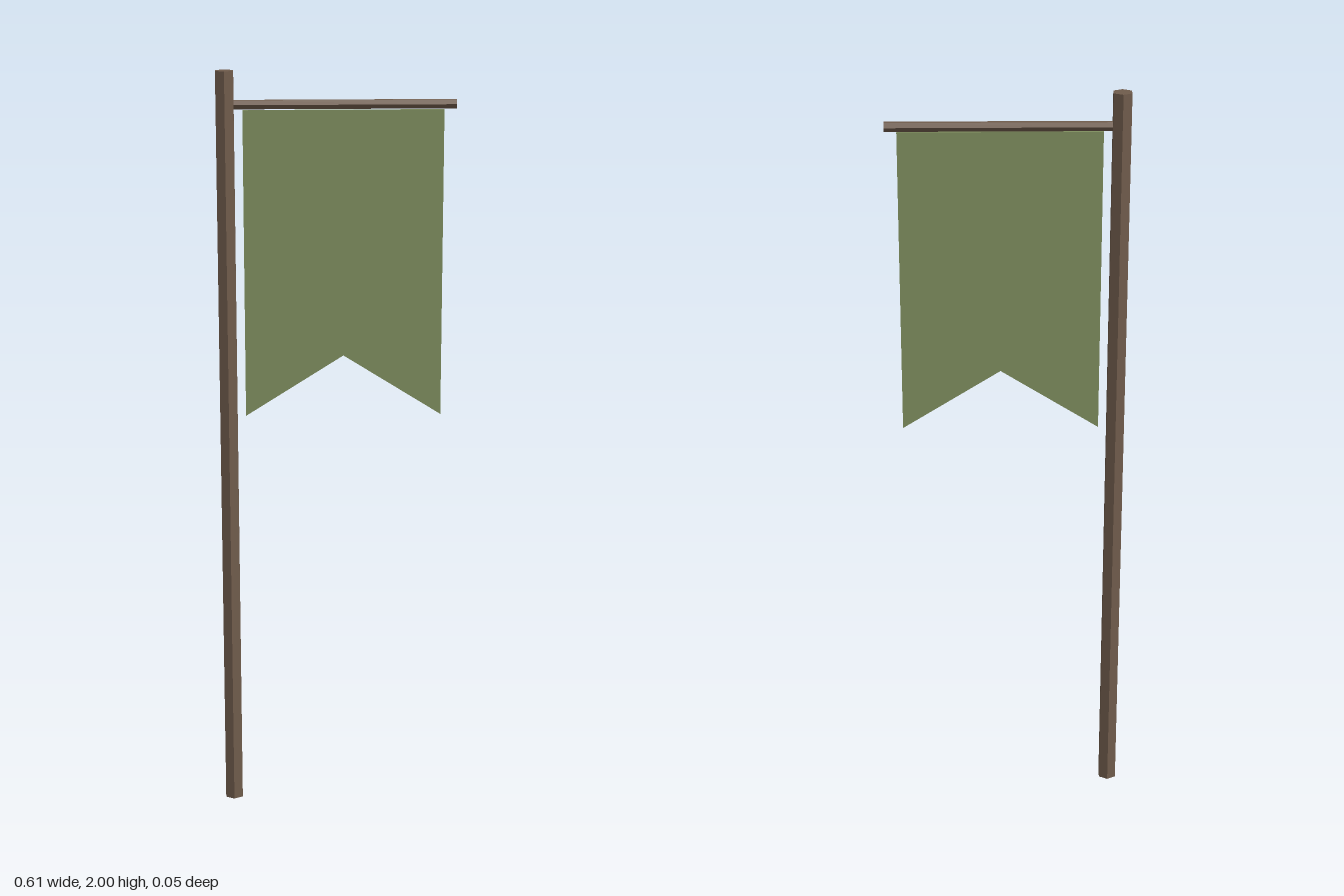
import * as THREE from 'three';

export function createModel() {
  const group = new THREE.Group();
  const wood = new THREE.MeshStandardMaterial({ color: 0x705c4c, flatShading: true });
  const cloth = new THREE.MeshStandardMaterial({ color: 0x7f8f5f, flatShading: true });

  const add = (name, geometry, material, x, y, z = 0) => {
    const mesh = new THREE.Mesh(geometry, material);
    mesh.name = name;
    mesh.position.set(x, y, z);
    group.add(mesh);
    return mesh;
  };

  // Upright hexagonal pole
  add('pole', new THREE.CylinderGeometry(0.0265, 0.0265, 2, 6), wood, -0.285, 1);

  // Thin hexagonal arm reaching out from the pole
  const arm = new THREE.CylinderGeometry(0.013, 0.013, 0.592, 6).rotateZ(-Math.PI / 2);
  add('crossbar', arm, wood, 0.011, 1.914);

  // Swallow-tailed cloth hanging under the arm
  const outline = new THREE.Shape([
    [-0.258, 0], [-0.258, -0.805], [0, -0.643], [0.258, -0.805], [0.258, 0],
  ].map(([x, y]) => new THREE.Vector2(x, y)));
  const depth = 0.006;
  const banner = new THREE.ExtrudeGeometry(outline, { depth, bevelEnabled: false });
  add('banner', banner, cloth, 0.018, 1.9, -depth / 2);

  return group;
}
